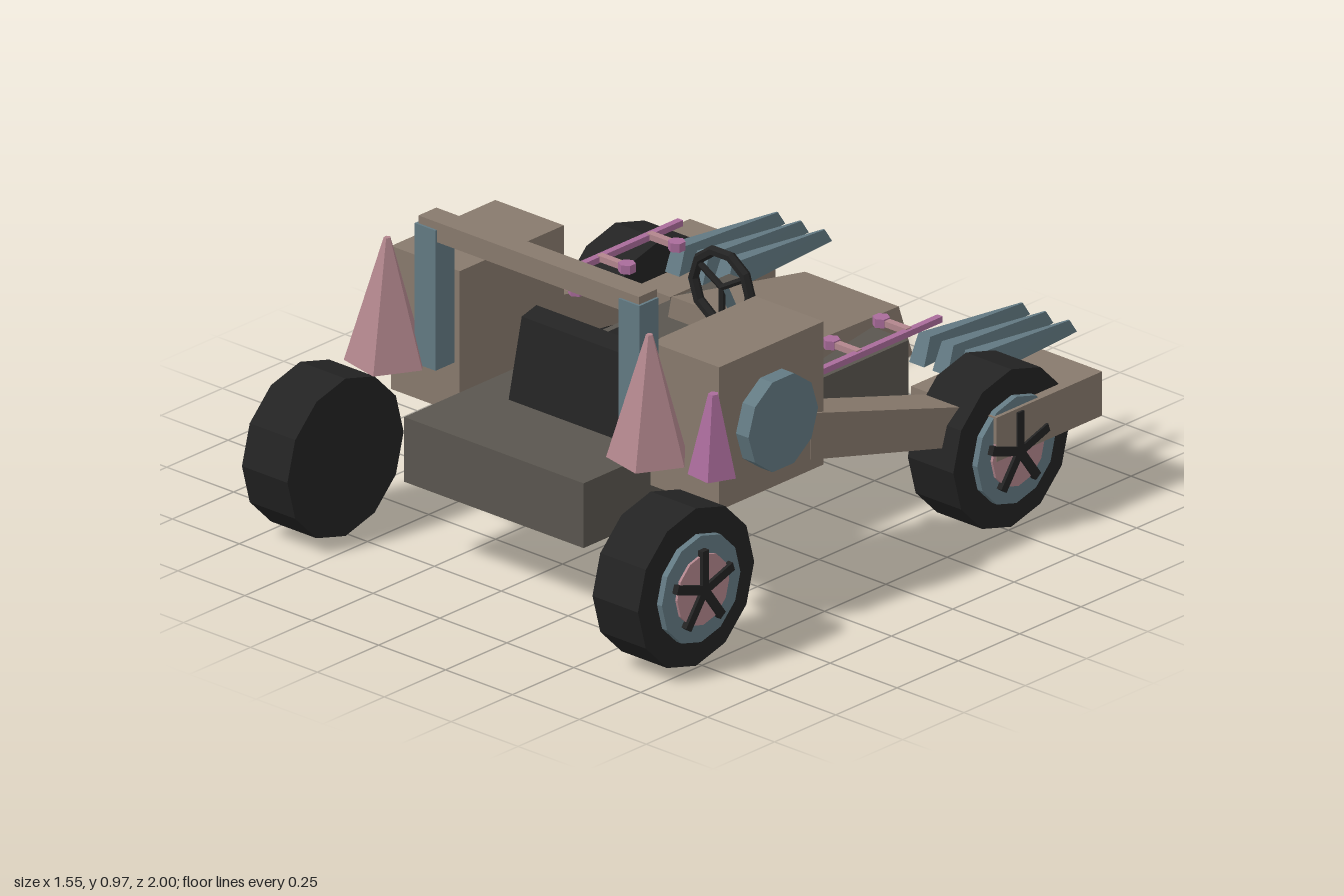
import * as THREE from 'three';

const mat = (name, color) => {
  const m = new THREE.MeshStandardMaterial({ color });
  m.name = name;
  return m;
};

export function createModel() {
  const brown = mat('taupe body', 0x887a6d);
  const dark = mat('dark chassis', 0x5a564f);
  const black = mat('black rubber', 0x232323);
  const steel = mat('blue grey steel', 0x637a83);
  const pink = mat('dusty pink', 0xb2868d);
  const purple = mat('purple', 0xaa6c9b);

  const model = new THREE.Group();
  model.name = 'buggy';

  const add = (parent, name, geo, material, x = 0, y = 0, z = 0) => {
    const flat = geo.index ? geo.toNonIndexed() : geo;
    flat.computeVertexNormals();
    const mesh = new THREE.Mesh(flat, material);
    mesh.name = name;
    mesh.position.set(x, y, z);
    parent.add(mesh);
    return mesh;
  };
  // Box given by its extents
  const box = (parent, name, material, x0, x1, y0, y1, z0, z1) =>
    add(parent, name, new THREE.BoxGeometry(Math.abs(x1 - x0), y1 - y0, z1 - z0), material,
      (x0 + x1) / 2, (y0 + y1) / 2, (z0 + z1) / 2);
  // Box between two different end sections: { x, bottom: [halfWidth, y, z], top: [halfWidth, y, z] }
  const loft = (parent, name, material, near, far) => {
    const geo = new THREE.BoxGeometry(2, 2, 2);
    const p = geo.attributes.position;
    for (let i = 0; i < p.count; i++) {
      const end = p.getZ(i) > 0 ? near : far;
      const [w, y, z] = p.getY(i) > 0 ? end.top : end.bottom;
      p.setXYZ(i, end.x + Math.sign(p.getX(i)) * w, y, z);
    }
    return add(parent, name, geo, material);
  };
  // Cylinder between two points
  const rod = (parent, name, material, a, b, r, sides = 6) => {
    const from = new THREE.Vector3(...a), to = new THREE.Vector3(...b);
    const mesh = add(parent, name, new THREE.CylinderGeometry(r, r, from.distanceTo(to), sides), material);
    mesh.position.copy(from).add(to).multiplyScalar(0.5);
    mesh.quaternion.setFromUnitVectors(new THREE.Vector3(0, 1, 0), to.sub(from).normalize());
    return mesh;
  };
  // Cylinder along x between two x positions
  const disc = (parent, name, material, x0, x1, y, z, r, sides) => {
    const geo = new THREE.CylinderGeometry(r, r, Math.abs(x1 - x0), sides);
    geo.rotateY(Math.PI / 2).rotateZ(Math.PI / 2);
    if (sides === 10) geo.rotateX(Math.PI / 2);
    return add(parent, name, geo, material, (x0 + x1) / 2, y, z);
  };

  // Chassis and tapered nose
  box(model, 'chassis', dark, -0.335, 0.335, 0.242, 0.437, -0.545, 0.78);
  loft(model, 'nose', brown,
    { x: 0, bottom: [0.285, 0.3, -0.21], top: [0.248, 0.502, -0.215] },
    { x: 0, bottom: [0.2, 0.3, -0.71], top: [0.175, 0.447, -0.68] });

  // Seat, with the backrest leaning forward
  const seat = new THREE.Group();
  seat.name = 'seat';
  model.add(seat);
  box(seat, 'seatCushion', black, -0.203, 0.203, 0.43, 0.51, 0.03, 0.44);
  loft(seat, 'backrest', black,
    { x: 0, bottom: [0.203, 0.43, 0.5], top: [0.203, 0.67, 0.445] },
    { x: 0, bottom: [0.203, 0.43, 0.44], top: [0.203, 0.685, 0.385] });
  loft(seat, 'backrestPanel', dark,
    { x: 0, bottom: [0.155, 0.53, 0.43], top: [0.155, 0.655, 0.402] },
    { x: 0, bottom: [0.155, 0.53, 0.41], top: [0.155, 0.655, 0.382] });

  // Steering wheel and column
  const steering = new THREE.Group();
  steering.name = 'steering';
  model.add(steering);
  add(steering, 'steeringWheel', new THREE.TorusGeometry(0.106, 0.016, 6, 10), black, 0, 0.625, -0.15);
  for (let i = 0; i < 3; i++) {
    const a = Math.PI / 6 + (i * Math.PI * 2) / 3;
    rod(steering, 'steeringSpoke', black, [0, 0.625, -0.15],
      [0.1 * Math.cos(a), 0.625 + 0.1 * Math.sin(a), -0.15], 0.01);
  }
  rod(steering, 'steeringColumn', steel, [0, 0.625, -0.155], [0, 0.44, -0.245], 0.015);

  // Roll bar crosspiece
  box(model, 'rollBar', brown, -0.412, 0.412, 0.915, 0.975, 0.565, 0.638);

  for (const s of [1, -1]) {
    const side = new THREE.Group();
    side.name = s > 0 ? 'leftSide' : 'rightSide';
    model.add(side);

    box(side, 'rollBarPost', steel, s * 0.342, s * 0.42, 0.53, 0.952, 0.567, 0.645);
    box(side, 'sidePod', brown, s * 0.357, s * 0.613, 0.357, 0.788, 0.105, 0.53);
    disc(side, 'podCap', steel, s * 0.6, s * 0.66, 0.567, 0.32, 0.142, 10);
    loft(side, 'strut', brown,
      { x: s * 0.55, bottom: [0.065, 0.39, 0.16], top: [0.065, 0.53, 0.16] },
      { x: s * 0.645, bottom: [0.065, 0.26, -0.47], top: [0.065, 0.375, -0.47] });
    box(side, 'rearFender', brown, s * 0.45, s * 0.77, 0.237, 0.37, -0.86, -0.43);

    // Five-sided cones above the wheels
    const largeCone = add(side, 'largeCone', new THREE.CylinderGeometry(0.01, 0.12, 0.37, 5), pink,
      s * 0.49, 0.715, 0.68);
    largeCone.rotation.y = Math.PI / 2 + 0.1;
    const smallCone = add(side, 'smallCone', new THREE.CylinderGeometry(0.015, 0.072, 0.24, 5), purple,
      s * 0.613, 0.597, 0.553);
    smallCone.rotation.y = Math.PI / 2 + 0.2;

    // Rail with knobbed branches
    box(side, 'rail', purple, s * 0.475, s * 0.495, 0.55, 0.568, -0.51, 0.11);
    for (const z of [-0.383, -0.18, 0.025]) {
      box(side, 'railBranch', pink, s * 0.39, s * 0.485, 0.553, 0.571, z - 0.011, z + 0.011);
      add(side, 'railKnob', new THREE.CylinderGeometry(0.025, 0.025, 0.026, 6), purple, s * 0.382, 0.562, z);
    }

    // Blades pointing to the rear
    for (const x of [0.37, 0.457, 0.545]) {
      loft(side, 'blade', steel,
        { x: s * x, bottom: [0.028, 0.375, -0.54], top: [0.022, 0.455, -0.572] },
        { x: s * x, bottom: [0.003, 0.378, -1], top: [0.003, 0.422, -0.97] });
    }

    // Wheels with rim, hub and five spokes
    for (const z of [0.763, -0.523]) {
      const wheel = new THREE.Group();
      wheel.name = z > 0 ? 'frontWheel' : 'rearWheel';
      side.add(wheel);
      disc(wheel, 'tyre', black, s * 0.57, s * 0.74, 0.24, z, 0.237, 12);
      disc(wheel, 'rim', steel, s * 0.73, s * 0.759, 0.24, z, 0.16, 12);
      disc(wheel, 'hub', pink, s * 0.75, s * 0.767, 0.24, z, 0.106, 12);
      for (let i = 0; i < 5; i++) {
        const geo = new THREE.BoxGeometry(0.022, 0.12, 0.026);
        geo.translate(0, 0.06, 0).rotateX((i * Math.PI * 2) / 5);
        add(wheel, 'spoke', geo, black, s * 0.766, 0.24, z);
      }
    }
  }
  return model;
}
